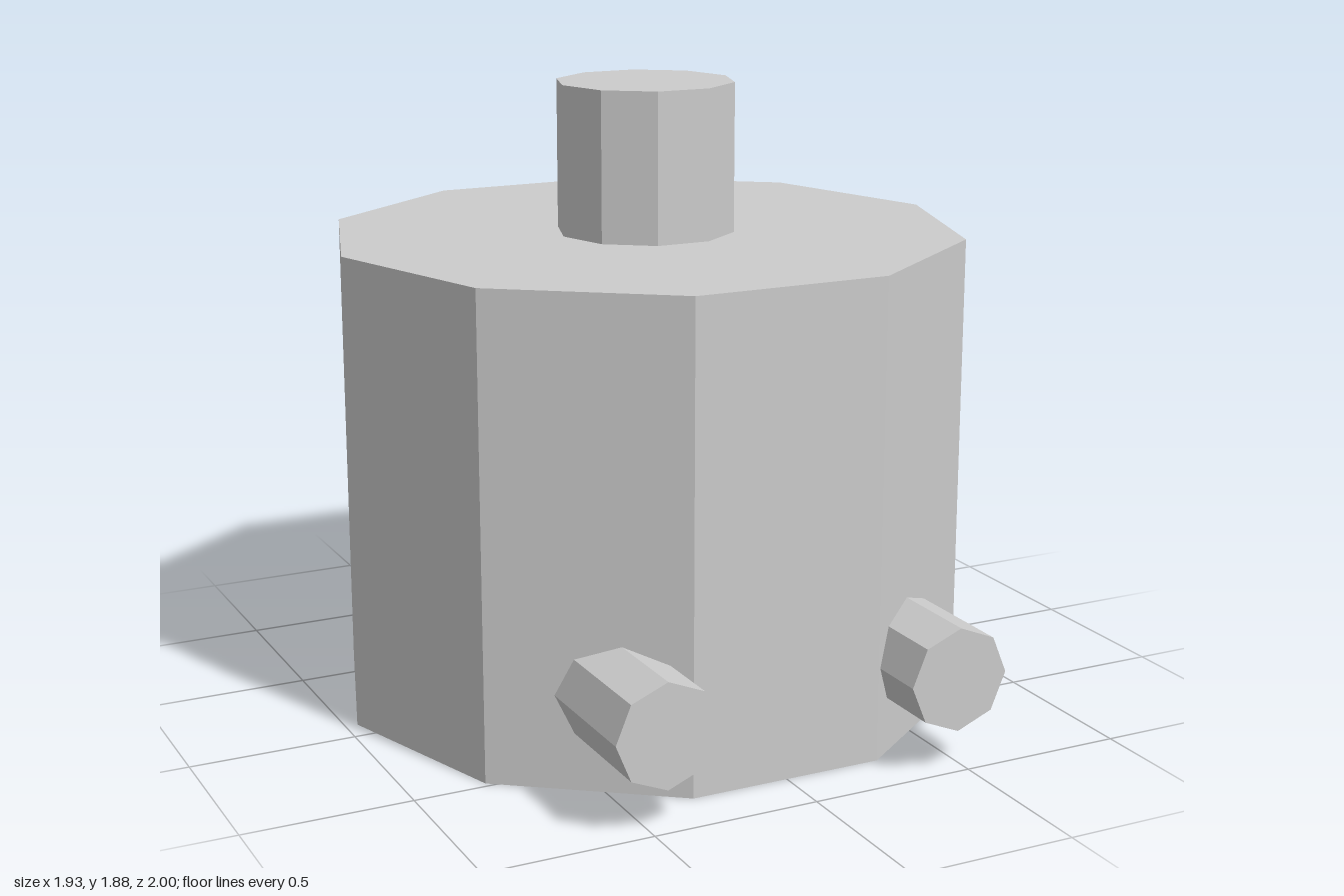
import * as THREE from 'three';

export function createModel() {
  const group = new THREE.Group();
  const material = new THREE.MeshStandardMaterial({ color: 0xcccccc, flatShading: true });
  const centreZ = -0.085;

  function prism(name, radius, length, sides) {
    // the first corner points to +x
    const geometry = new THREE.CylinderGeometry(radius, radius, length, sides, 1, false, Math.PI / 2);
    const mesh = new THREE.Mesh(geometry, material);
    mesh.name = name;
    group.add(mesh);
    return mesh;
  }

  // Ten-sided body standing on the ground
  prism('body', 0.963, 1.43, 10).position.set(0, 0.715, centreZ);

  // Ten-sided neck on top of the body
  prism('neck', 0.27, 0.45, 10).position.set(0, 1.655, centreZ);

  // Pair of eight-sided pegs reaching out to the front
  for (const side of [1, -1]) {
    const peg = prism(side > 0 ? 'leftPeg' : 'rightPeg', 0.155, 0.5, 8);
    peg.rotation.x = Math.PI / 2;
    peg.position.set(side * 0.46, 0.28, 0.75);
  }

  return group;
}
